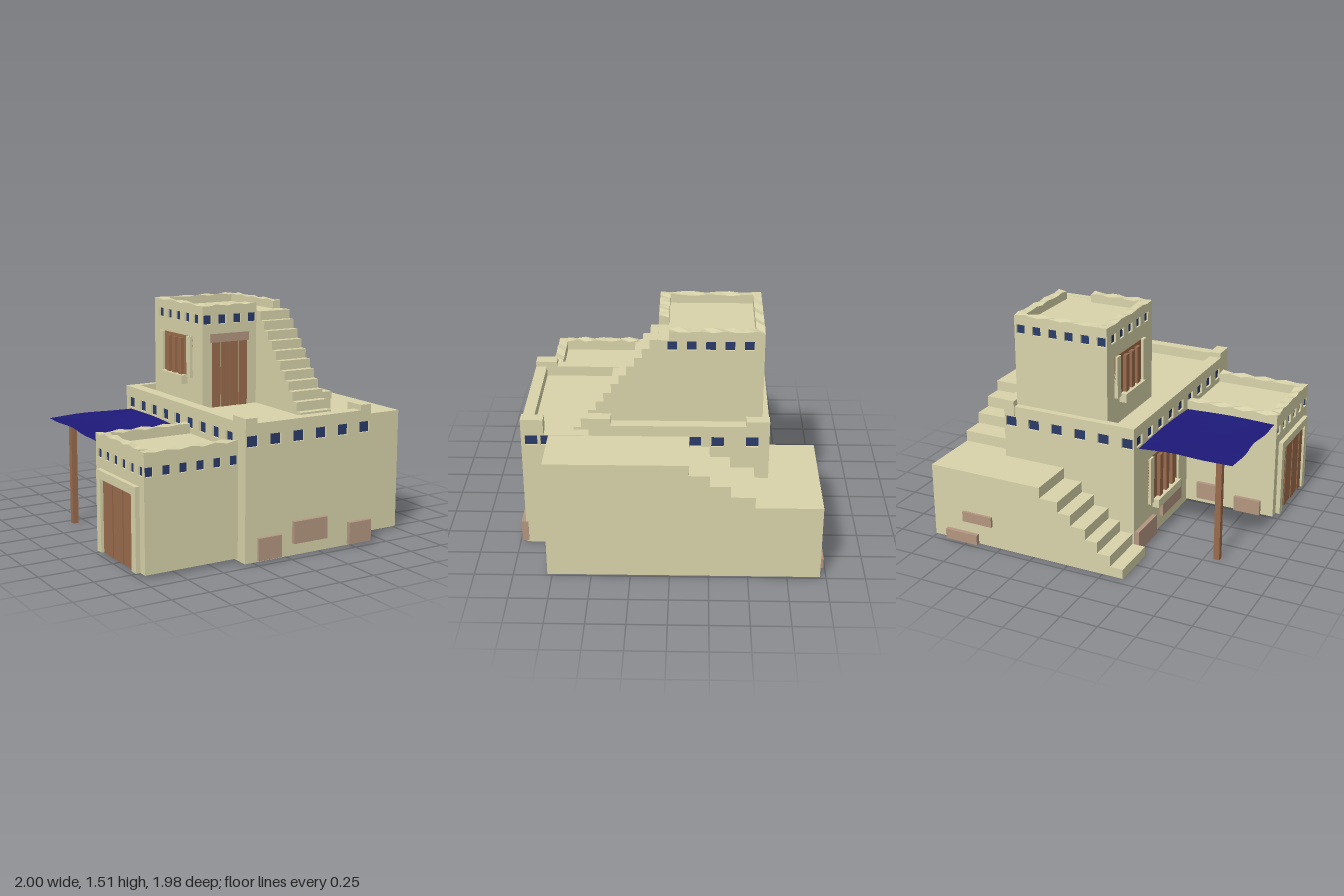
import * as THREE from 'three';

const mat = (color) => new THREE.MeshStandardMaterial({ color, flatShading: true, roughness: 0.9 });
const CLAY = mat(0xd8d3aa), BRICK = mat(0xb39680), WOOD = mat(0x9a6b4c), GLASS = mat(0x2a3b6a);
const CLOTH = mat(0x1e1a7a);
CLOTH.side = THREE.DoubleSide;

function add(parent, name, geo, material) {
  const mesh = new THREE.Mesh(geo, material);
  mesh.name = name;
  parent.add(mesh);
  return mesh;
}

// Box given by its limits on each axis
function box(parent, name, [x0, x1], [y0, y1], [z0, z1], material = CLAY) {
  const geo = new THREE.BoxGeometry(x1 - x0, y1 - y0, z1 - z0);
  geo.translate((x0 + x1) / 2, (y0 + y1) / 2, (z0 + z1) / 2);
  return add(parent, name, geo, material);
}

// Side profile pushed along z, or along x (profile then runs along -z)
function prism(parent, name, points, from, to, alongX = false) {
  const shape = new THREE.Shape(points.map(([u, v]) => new THREE.Vector2(u, v)));
  const geo = new THREE.ExtrudeGeometry(shape, { depth: to - from, bevelEnabled: false });
  geo.translate(0, 0, from);
  if (alongX) geo.rotateY(Math.PI / 2);
  return add(parent, name, geo, CLAY);
}

const rect = (path, x0, x1, y0, y1) =>
  path.moveTo(x0, y0).lineTo(x1, y0).lineTo(x1, y1).lineTo(x0, y1).closePath();

// Block with recessed windows; sides hold window centres in model x or z
function windowedBlock(parent, name, [x0, x1], [y0, y1], [z0, z1], win, sides) {
  const T = 0.02, g = new THREE.Group();
  g.name = name;
  parent.add(g);
  box(g, 'core', [x0 + T, x1 - T], [y0, y1], [z0 + T, z1 - T]);
  const cx = (x0 + x1) / 2, cz = (z0 + z1) / 2, w = x1 - x0, d = z1 - z0;
  const layout = {
    front: [0, w, d, (v) => v - cx],
    back: [Math.PI, w, d, (v) => cx - v],
    right: [Math.PI / 2, d - 2 * T, w, (v) => cz - v],
    left: [-Math.PI / 2, d - 2 * T, w, (v) => v - cz],
  };
  for (const [side, [angle, len, span, toLocal]] of Object.entries(layout)) {
    const wall = new THREE.Group();
    wall.name = side + 'Wall';
    wall.position.set(cx, 0, cz);
    wall.rotation.y = angle;
    g.add(wall);
    const shape = new THREE.Shape();
    rect(shape, -len / 2, len / 2, y0, y1);
    for (const c of sides[side] || []) {
      const u = toLocal(c), h = win.w / 2;
      const hole = new THREE.Path();
      rect(hole, u - h, u + h, win.y0, win.y1);
      shape.holes.push(hole);
      box(wall, 'windowPane', [u - h, u + h], [win.y0, win.y1],
        [span / 2 - T - 0.005, span / 2 - T + 0.006], GLASS);
    }
    const geo = new THREE.ExtrudeGeometry(shape, { depth: T, bevelEnabled: false });
    geo.translate(0, 0, span / 2 - T);
    add(wall, 'wallFace', geo, CLAY);
  }
  return g;
}

// Parapet wall with a worn, uneven top
function wornWall(parent, xs, ys, zs, wear) {
  const w = xs[1] - xs[0], d = zs[1] - zs[0];
  const geo = new THREE.BoxGeometry(w, ys[1] - ys[0], d, w > d ? 8 : 1, 1, w > d ? 1 : 8);
  geo.translate((xs[0] + xs[1]) / 2, (ys[0] + ys[1]) / 2, (zs[0] + zs[1]) / 2);
  const p = geo.attributes.position;
  for (let i = 0; i < p.count; i++) {
    const x = p.getX(i), z = p.getZ(i);
    if (p.getY(i) > ys[0] + 0.01) p.setY(i, ys[1] - wear * (0.5 + 0.5 * Math.sin(x * 41 + z * 57)));
  }
  geo.computeVertexNormals();
  add(parent, 'parapet', geo, CLAY);
}

const row = (start, step, n) => Array.from({ length: n }, (_, i) => start + step * i);

// Upright planks side by side, set along x or z
function planks(parent, name, a, b, n, ys, face, alongX) {
  const step = (b - a) / n;
  for (let i = 0; i < n; i++) {
    const span = [a + i * step + 0.003, a + (i + 1) * step - 0.003];
    const depth = i % 2 ? face : [face[0] + 0.004, face[1] - 0.004];
    if (alongX) box(parent, name, span, ys, depth, WOOD);
    else box(parent, name, depth, ys, span, WOOD);
  }
}

// Barred window on a wall facing -x
function barredWindow(parent, x, [y0, y1], [z0, z1]) {
  const g = new THREE.Group();
  g.name = 'barredWindow';
  parent.add(g);
  const f = 0.05;
  box(g, 'recess', [x - 0.006, x + 0.01], [y0, y1], [z0, z1], WOOD);
  for (const z of [z0, z1 - f]) box(g, 'jamb', [x - 0.022, x], [y0, y1], [z, z + f]);
  const step = (z1 - z0 - 2 * f) / 4;
  for (let i = 1; i < 4; i++) {
    const z = z0 + f + step * i;
    box(g, 'bar', [x - 0.03, x], [y0, y1 - 0.02], [z - 0.022, z + 0.022], WOOD);
  }
  box(g, 'sill', [x - 0.05, x], [y0 - 0.05, y0 + 0.01], [z0 + 0.07, z1 - 0.07]);
}

export function createModel() {
  const model = new THREE.Group();
  model.name = 'adobeHouse';

  // Main house and its roof parapet
  windowedBlock(model, 'mainHouse', [-0.32, 0.63], [0.01, 0.82], [-0.63, 0.955],
    { w: 0.08, y0: 0.745, y1: 0.815 }, {
      front: row(-0.27, 0.17, 6), back: row(-0.27, 0.17, 6),
      left: row(-0.55, 0.164, 9), right: [0.89, 0.79, -0.155, -0.3, -0.37, -0.52, -0.565].filter((z) => z !== -0.37 && z !== -0.565),
    });
  box(model, 'leftParapet', [-0.32, -0.235], [0.82, 0.89], [-0.63, 0.955]);
  box(model, 'frontParapet', [-0.235, 0.55], [0.82, 0.89], [0.88, 0.955]);
  box(model, 'backParapet', [-0.235, 0.55], [0.82, 0.89], [-0.63, -0.58]);
  box(model, 'rightParapet', [0.555, 0.63], [0.82, 0.89], [-0.63, 0.52]);
  box(model, 'parapetCorner', [-0.32, -0.235], [0.89, 0.925], [0.81, 0.955]);
  box(model, 'parapetCorner', [0.55, 0.63], [0.82, 0.925], [0.81, 0.955]);
  box(model, 'parapetCorner', [0.555, 0.63], [0.89, 0.925], [-0.63, -0.48]);
  box(model, 'parapetPost', [0.555, 0.632], [0.89, 0.94], [0.38, 0.525]);

  // Side terrace stepping down to the back landing
  prism(model, 'terrace', [[-0.78, 0.01], [0.96, 0.01], [0.96, 0.52], [0.535, 0.52], [0.535, 0.595],
    [0.38, 0.595], [0.38, 0.67], [0.25, 0.67], [0.25, 0.745], [0.12, 0.745], [0.12, 0.817],
    [-0.78, 0.817]], 0.63, 1, true);

  // Back stairs from the ground to the landing
  const treads = [0.19, 0.06, -0.03, -0.135, -0.22, -0.31, -0.4];
  const backSteps = [[0.63, 0.01], [0.63, 0.52]];
  treads.forEach((x, i) => backSteps.push([x, 0.52 - i * 0.074], [x, i < 6 ? 0.446 - i * 0.074 : 0.01]));
  prism(model, 'backStairs', backSteps.reverse(), -0.96, -0.63);

  // Tower with worn parapet, open where the stairs arrive
  windowedBlock(model, 'tower', [-0.11, 0.555], [0.81, 1.453], [-0.585, 0.08],
    { w: 0.06, y0: 1.385, y1: 1.445 }, {
      front: row(-0.07, 0.116, 4), back: row(-0.07, 0.116, 6),
      left: row(-0.49, 0.12, 5), right: row(-0.49, 0.12, 5),
    });
  const top = [1.45, 1.515];
  wornWall(model, [-0.11, 0.555], top, [-0.585, -0.53], 0.012);
  wornWall(model, [-0.11, -0.05], top, [-0.53, 0.08], 0.012);
  wornWall(model, [0.495, 0.555], top, [-0.53, 0.01], 0.012);
  wornWall(model, [-0.05, 0.315], top, [0.015, 0.08], 0.012);

  // Tower stairs
  const towerSteps = [[-0.08, 0.81], [-0.08, 1.455]];
  for (let i = 10; i >= 0; i--) {
    const z = -(0.625 - 0.0495 * i), y = 0.84 + 0.0615 * i;
    towerSteps.push([z, y], [z, i ? y - 0.0615 : 0.81]);
  }
  prism(model, 'towerStairs', towerSteps.reverse(), 0.315, 0.555, true);

  // Tower door and window
  planks(model, 'towerDoorPlank', -0.04, 0.24, 4, [0.82, 1.262], [0.07, 0.088], true);
  box(model, 'towerDoorLintel', [-0.05, 0.25], [1.262, 1.32], [0.07, 0.094], BRICK);
  barredWindow(model, -0.11, [1.01, 1.29], [-0.48, -0.05]);

  // Low annex with its parapet
  windowedBlock(model, 'annex', [-0.97, -0.31], [0.025, 0.71], [0.22, 0.87],
    { w: 0.055, y0: 0.625, y1: 0.685 }, {
      front: row(-0.937, 0.117, 6), left: row(0.27, 0.11, 6),
    });
  wornWall(model, [-0.97, -0.32], [0.7, 0.782], [0.805, 0.87], 0.014);
  wornWall(model, [-0.97, -0.32], [0.7, 0.782], [0.22, 0.28], 0.014);
  wornWall(model, [-0.97, -0.91], [0.7, 0.79], [0.28, 0.805], 0.014);

  // Annex door in a raised frame
  for (const z of [0.28, 0.755]) box(model, 'annexDoorJamb', [-1, -0.96], [0.025, 0.56], [z, z + 0.055]);
  box(model, 'annexDoorLintel', [-1, -0.96], [0.505, 0.56], [0.335, 0.755]);
  planks(model, 'annexDoorPlank', 0.335, 0.755, 6, [0.025, 0.505], [-0.985, -0.96], false);

  // Window under the awning
  barredWindow(model, -0.32, [0.27, 0.6], [-0.42, 0.08]);

  // Exposed brick patches
  const patches = [
    [[-0.23, -0.06], [0.02, 0.165], [0.94, 0.975]], [[0.03, 0.285], [0.09, 0.235], [0.94, 0.98]],
    [[0.46, 0.632], [0.02, 0.165], [0.94, 0.985]], [[0.55, 0.77], [0.16, 0.23], [-0.978, -0.94]],
    [[0.66, 0.9], [0.01, 0.08], [-0.99, -0.94]], [[-0.35, -0.3], [0.02, 0.16], [-0.62, -0.34]],
    [[-0.345, -0.3], [0.1, 0.24], [-0.23, 0.08]], [[-0.59, -0.41], [0.06, 0.18], [0.195, 0.24]],
    [[-0.88, -0.69], [0.025, 0.13], [0.195, 0.24]],
  ];
  for (const p of patches) box(model, 'brickPatch', ...p, BRICK);

  // Cloth awning with ragged edge, and its post
  const cloth = new THREE.PlaneGeometry(0.64, 0.78, 10, 10);
  cloth.rotateX(-Math.PI / 2);
  const p = cloth.attributes.position;
  for (let i = 0; i < p.count; i++) {
    const u = p.getX(i) / 0.64, v = p.getZ(i) / 0.78;
    const rag = 0.008 * Math.sin(9 * u + 13 * v);
    p.setXYZ(i, -0.64 + p.getX(i) + (u < -0.49 ? rag : 0),
      0.725 - 0.02 * v - 0.012 * Math.cos(u * 5) * Math.cos(v * 4), -0.165 + p.getZ(i) + (v < -0.49 ? rag : 0));
  }
  cloth.computeVertexNormals();
  add(model, 'awning', cloth, CLOTH);
  box(model, 'awningPost', [-0.85, -0.81], [0, 0.72], [-0.46, -0.42], WOOD);

  return model;
}
